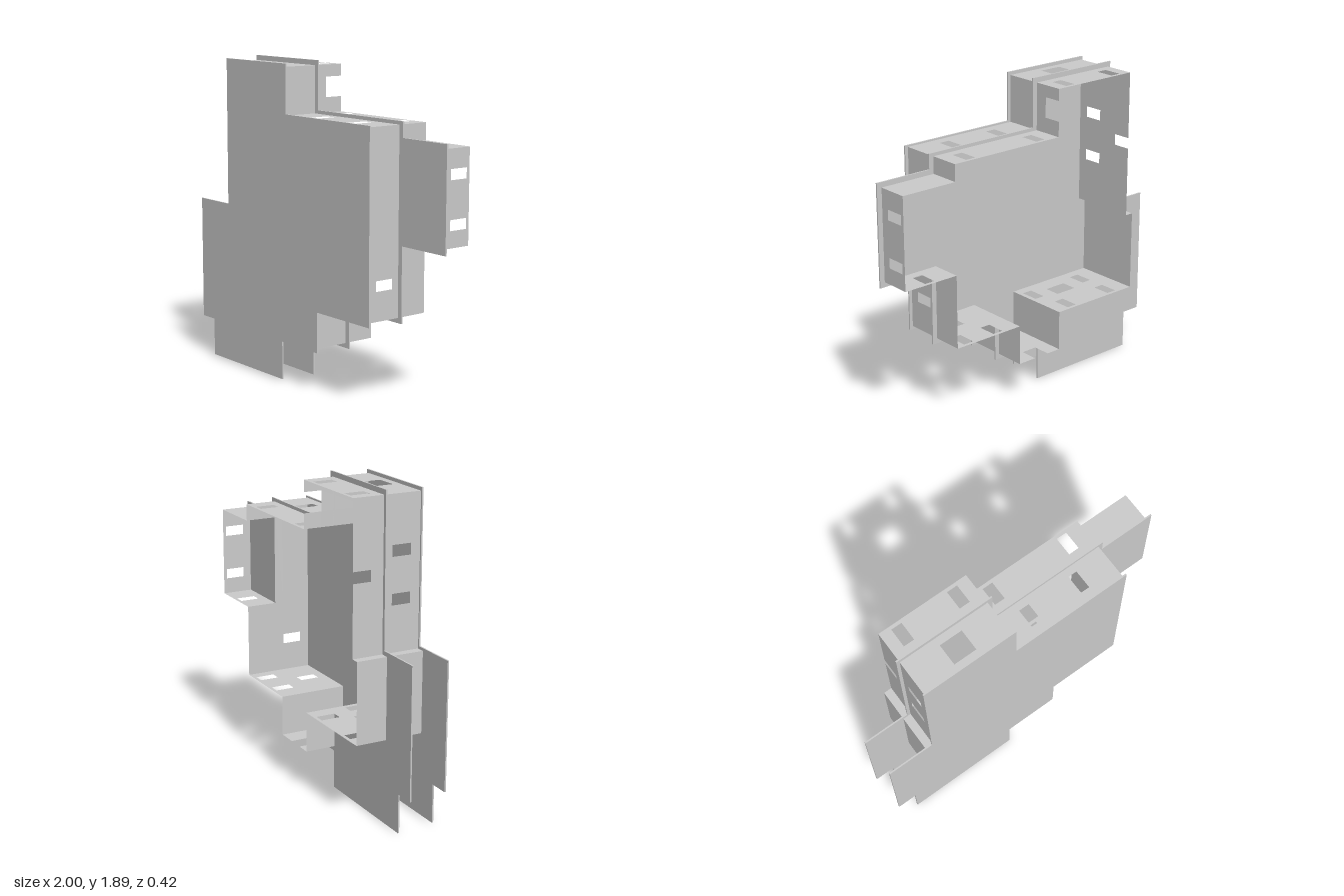
import * as THREE from 'three';
import { mergeGeometries } from 'three/addons/utils/BufferGeometryUtils.js';

const grey = new THREE.MeshStandardMaterial({ color: 0xcccccc, side: THREE.DoubleSide, flatShading: true });
const BACK = -0.21, MID = -0.02, FRONT = 0.205;

// Flat wall from a to b (axis aligned), running z0..z1, with rectangular
// openings [centre along the wall, width, z start, z end]
function wall(name, a, b, z0, z1, openings = []) {
  const alongX = a[1] === b[1];
  const k = alongX ? 0 : 1;
  const lo = Math.min(a[k], b[k]), hi = Math.max(a[k], b[k]);
  const holes = openings.map(([c, w, h0, h1]) => [c - w / 2, c + w / 2, h0, h1]);
  const sorted = (list) => [...new Set(list)].sort((p, q) => p - q);
  const ss = sorted([lo, hi, ...holes.flatMap((h) => [h[0], h[1]])]);
  const zs = sorted([z0, z1, ...holes.flatMap((h) => [h[2], h[3]])]);
  const cells = [];
  for (let i = 0; i < ss.length - 1; i++) {
    for (let j = 0; j < zs.length - 1; j++) {
      const s = (ss[i] + ss[i + 1]) / 2, z = (zs[j] + zs[j + 1]) / 2;
      if (holes.some((h) => s > h[0] && s < h[1] && z > h[2] && z < h[3])) continue;
      const g = new THREE.PlaneGeometry(ss[i + 1] - ss[i], zs[j + 1] - zs[j]);
      g.rotateX(-Math.PI / 2);
      if (alongX) g.translate(s, a[1], z);
      else g.rotateZ(Math.PI / 2).translate(a[0], s, z);
      cells.push(g);
    }
  }
  const mesh = new THREE.Mesh(mergeGeometries(cells), grey);
  mesh.name = name;
  return mesh;
}

// Thin plate cut from an outline, optionally with one opening
function plate(name, outline, z, depth, hole) {
  const toVec = (pts) => pts.map(([x, y]) => new THREE.Vector2(x, y));
  const shape = new THREE.Shape(toVec(outline));
  if (hole) shape.holes.push(new THREE.Path(toVec(hole)));
  const geo = new THREE.ExtrudeGeometry(shape, { depth, bevelEnabled: false });
  const mesh = new THREE.Mesh(geo.translate(0, 0, z), grey);
  mesh.name = name;
  return mesh;
}

// Outer plate outline; e shrinks it, wing adds the side wing
function plateOutline(e, wing) {
  const side = wing
    ? [[0.65, 0.91], [1, 0.91], [1, 1.51], [0.65, 1.51]]
    : [];
  return [
    [-1 + e, 0.23 + e], [-0.88 + e, 0.23 + e], [-0.88 + e, e], [-0.145 - e, e],
    [-0.145 - e, 0.23 + e], [0.19 - e, 0.23 + e], [0.19 - e, 0.47 + e], [0.65 - e, 0.47 + e],
    ...side,
    [0.65 - e, 1.6 - e], [-0.1 - e, 1.6 - e], [-0.1 - e, 1.89 - e],
    [-0.71 + e, 1.89 - e], [-0.71 + e, 1.005 - e], [-1 + e, 1.005 - e],
  ];
}

export function createModel() {
  const group = new THREE.Group();
  group.name = 'twoStoreyShell';

  // Footprint of the main walls
  const room = [
    [-0.69, 1.86], [-0.13, 1.86], [-0.13, 1.58], [0.62, 1.58], [0.62, 0.5], [0.16, 0.5],
    [0.16, 0.26], [-0.15, 0.26], [-0.15, 0.5], [-0.74, 0.5], [-0.74, 0.98], [-0.69, 0.98],
  ];

  // Plates: closed front, and a middle one open inside the walls
  group.add(plate('frontPlate', plateOutline(0.01, false), 0.202, 0.009));
  group.add(plate('middlePlate', plateOutline(0, true), -0.025, 0.009, room));

  // Window bands of the two storeys, and a doorway reaching the open edge
  const b = [-0.19, -0.075], f = [0.03, 0.145], door = [BACK, -0.1];
  const openings = {
    0: [[-0.59, 0.065, ...b], [-0.235, 0.065, ...b], [-0.4, 0.14, 0.03, 0.16]],
    1: [[1.73, 0.12, ...door]],
    2: [[-0.01, 0.065, ...b], [0.495, 0.065, ...b], [0.075, 0.065, ...f], [0.41, 0.065, ...f]],
    4: [[0.525, 0.065, ...b], [0.31, 0.065, ...b], [0.41, 0.065, ...f]],
    6: [[-0.01, 0.1, ...door]],
    8: [[-0.27, 0.065, ...b], [-0.6, 0.065, ...b], [-0.4, 0.14, 0, 0.1],
      [-0.6, 0.065, ...f], [-0.21, 0.065, ...f]],
    11: [[1.55, 0.065, ...f], [1.28, 0.065, ...f], [1.43, 0.065, ...door]],
  };
  room.forEach((p, i) => {
    if (i === 3) return;
    group.add(wall(`wall${i + 1}`, p, room[(i + 1) % room.length], BACK, FRONT, openings[i]));
  });

  // Wall beside the wing, open to it in the back storey
  group.add(wall('wingSideWall', [0.62, 1.58], [0.62, 0.5], BACK, FRONT,
    [[1.21, 0.54, BACK, MID], [0.7, 0.06, ...f]]));

  // Side wing, back storey only
  group.add(wall('wingTop', [0.62, 1.48], [0.97, 1.48], BACK, MID));
  group.add(wall('wingEnd', [0.97, 1.48], [0.97, 0.94], BACK, MID,
    [[1.34, 0.06, ...b], [1.065, 0.06, ...b]]));
  group.add(wall('wingBottom', [0.62, 0.94], [0.97, 0.94], BACK, MID, [[0.79, 0.065, ...b]]));

  return group;
}
